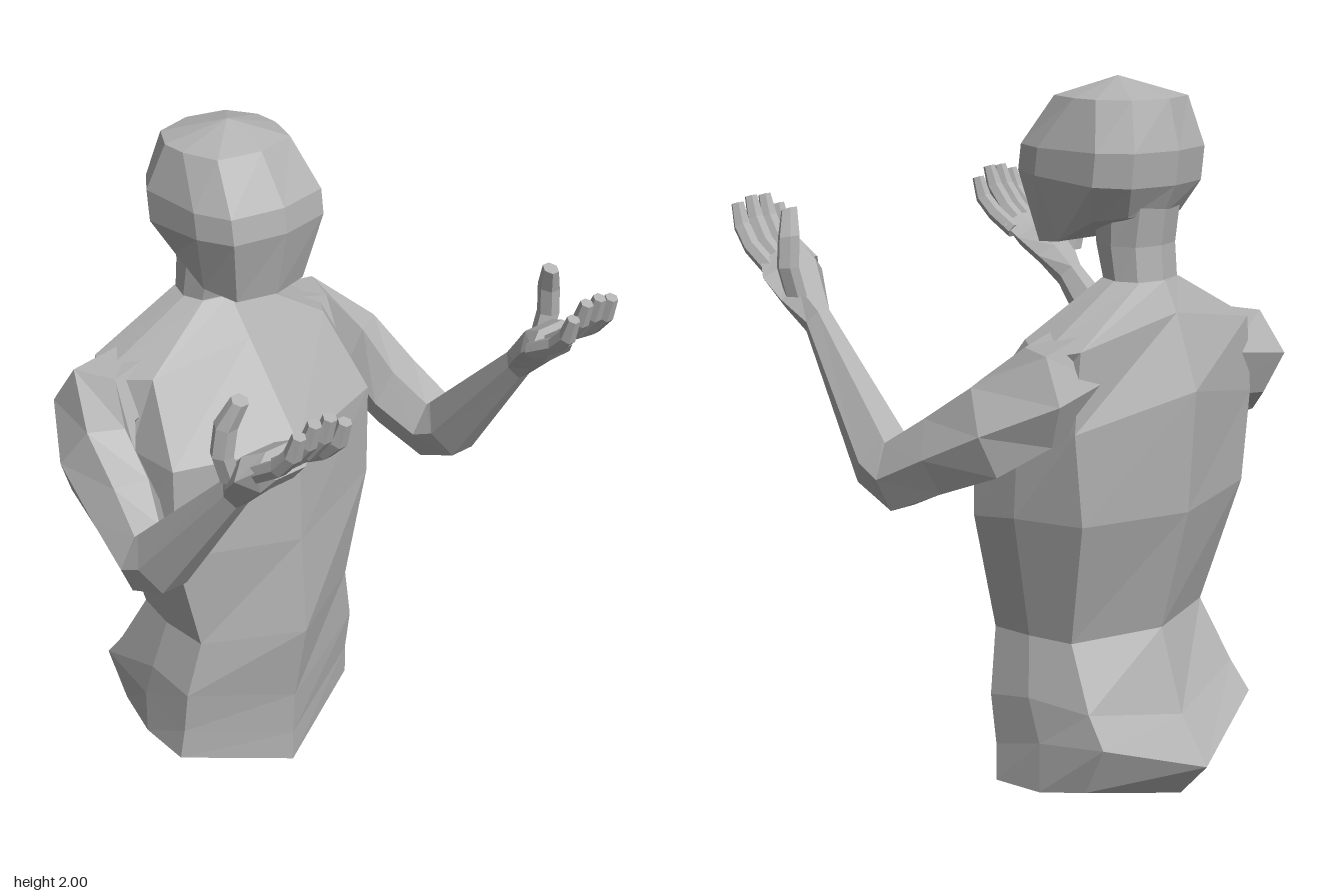
import * as THREE from 'three';

const grey = new THREE.MeshStandardMaterial({ color: 0xb2b2b2 });
grey.name = 'plain grey';

// Faceted skin over rings of points; the ends close onto a given or average point.
function skin(name, rings, startTip, endTip) {
  const n = rings[0].length, tris = [];
  const mean = (r) => [0, 1, 2].map((k) => r.reduce((a, p) => a + p[k], 0) / n);
  const first = rings[0], last = rings[rings.length - 1];
  const a = startTip || mean(first), b = endTip || mean(last);
  for (let j = 0; j < n; j++) {
    const k = (j + 1) % n;
    tris.push([a, first[k], first[j]], [b, last[j], last[k]]);
    for (let i = 0; i < rings.length - 1; i++) {
      const r = rings[i], s = rings[i + 1];
      tris.push([r[j], r[k], s[k]], [r[j], s[k], s[j]]);
    }
  }
  // Turn all faces outward, also for mirrored parts
  const V = (p) => new THREE.Vector3(...p);
  const volume = tris.reduce((v, t) => v + V(t[0]).dot(V(t[1]).cross(V(t[2]))), 0);
  if (volume < 0) tris.forEach((t) => t.reverse());
  const geo = new THREE.BufferGeometry();
  geo.setAttribute('position', new THREE.Float32BufferAttribute(tris.flat(2), 3));
  geo.computeVertexNormals();
  const mesh = new THREE.Mesh(geo, grey);
  mesh.name = name;
  return mesh;
}

// Full ring from its +x half, listed from front centre to back centre
const mirrorRing = (half) => [
  ...half,
  ...half.slice(1, -1).reverse().map(([x, y, z]) => [-x, y, z]),
];

// Six-sided limb ring from its top point, bottom point and sideways half-width vector
function limbRing([top, bottom, side], mirror) {
  return [[1, 0], [0.5, 1], [-0.5, 1], [-1, 0], [-0.5, -1], [0.5, -1]].map(([s, h]) => {
    const p = [0, 1, 2].map((k) =>
      (top[k] + bottom[k]) / 2 + (h * (top[k] - bottom[k])) / 2 + s * side[k]);
    return [p[0] * mirror, p[1], p[2]];
  });
}

// Finger along a path, thickness measured across the bend
function finger(name, path, r, mirror) {
  const rings = path.map((p, i) => {
    const a = path[Math.max(i - 1, 0)], b = path[Math.min(i + 1, path.length - 1)];
    const dy = b[1] - a[1], dz = b[2] - a[2], len = Math.hypot(dy, dz);
    const t = i === path.length - 1 ? r * 0.75 : r;
    const ny = (dz / len) * t, nz = (-dy / len) * t;
    return limbRing([[p[0], p[1] + ny, p[2] + nz], [p[0], p[1] - ny, p[2] - nz], [t * 1.15, 0, 0]], mirror);
  });
  return skin(name, rings);
}

function makeTorso() {
  const halves = [
    [[0, 0, -0.03], [0.33, 0.10, -0.16], [0.33, 0.11, -0.32], [0.30, 0.14, -0.46], [0, 0.07, -0.54]],
    [[0, 0.10, -0.03], [0.32, 0.20, -0.15], [0.33, 0.25, -0.32], [0.31, 0.28, -0.53], [0, 0.17, -0.63]],
    [[0, 0.25, -0.02], [0.32, 0.34, -0.13], [0.33, 0.37, -0.28], [0.30, 0.36, -0.47], [0, 0.30, -0.54]],
    [[0, 0.51, 0.03], [0.28, 0.52, -0.11], [0.295, 0.53, -0.25], [0.27, 0.53, -0.38], [0, 0.53, -0.465]],
    [[0, 0.82, 0.01], [0.36, 0.85, -0.11], [0.385, 0.88, -0.28], [0.33, 0.88, -0.47], [0, 0.87, -0.55]],
    [[0, 1.12, 0], [0.36, 1.13, -0.11], [0.37, 1.13, -0.28], [0.36, 1.13, -0.47], [0, 1.20, -0.57]],
    [[0, 1.38, -0.21], [0.31, 1.34, -0.25], [0.40, 1.32, -0.38], [0.34, 1.34, -0.47], [0, 1.40, -0.50]],
    [[0, 1.48, -0.29], [0.08, 1.48, -0.31], [0.10, 1.48, -0.37], [0.08, 1.48, -0.44], [0, 1.48, -0.46]],
  ];
  return skin('torso', halves.map(mirrorRing), [0, 0.02, -0.30]);
}

function makeNeck() {
  const ring = (y, zf, zb) => mirrorRing([
    [0, y, zf], [0.08, y, zf - 0.02], [0.10, y, (zf + zb) / 2], [0.08, y, zb + 0.02], [0, y, zb],
  ]);
  return skin('neck', [ring(1.46, -0.30, -0.455), ring(1.57, -0.27, -0.445), ring(1.68, -0.26, -0.46)]);
}

function makeHead() {
  // y at front, y at back, front z, back z, half width
  const rings = [
    [1.56, 1.65, -0.09, -0.45, 0.15],
    [1.75, 1.73, -0.05, -0.49, 0.20],
    [1.82, 1.82, -0.06, -0.50, 0.20],
    [1.95, 1.95, -0.15, -0.465, 0.16],
  ].map(([yf, yb, zf, zb, w]) => mirrorRing([
    [0, yf, zf],
    [w * 0.78, yf, zf - 0.03],
    [w, yf + (yb - yf) * 0.15, zf - 0.13],
    [w, yf + (yb - yf) * 0.85, zb + 0.11],
    [w * 0.7, yb, zb + 0.03],
    [0, yb, zb],
  ]));
  return skin('head', rings, [0, 1.58, -0.26], [0, 2, -0.29]);
}

function makeArm(label, mirror) {
  const arm = new THREE.Group();
  arm.name = label + 'Arm';
  const limb = (name, list) => arm.add(skin(name, list.map((r) => limbRing(r, mirror))));

  // Upper arm, swinging forward from the shoulder
  limb('upperArm', [
    [[0.24, 1.38, -0.37], [0.28, 1.12, -0.38], [0, 0, -0.10]],
    [[0.41, 1.34, -0.38], [0.41, 1.11, -0.40], [0.05, 0, -0.12]],
    [[0.48, 1.25, -0.24], [0.48, 1.03, -0.33], [0.09, 0, -0.05]],
    [[0.50, 1.15, -0.11], [0.50, 0.96, -0.17], [0.10, 0, -0.02]],
    [[0.535, 1.07, 0], [0.535, 0.89, -0.02], [0.085, 0, 0]],
  ]);
  // Elbow and tapering forearm
  limb('forearm', [
    [[0.535, 1.07, 0], [0.535, 0.89, -0.02], [0.085, 0, 0]],
    [[0.535, 1.08, 0.01], [0.535, 0.945, 0.11], [0.08, 0, 0]],
    [[0.505, 1.37, 0.31], [0.505, 1.31, 0.36], [0.04, 0, 0]],
  ]);
  // Upturned palm
  limb('palm', [
    [[0.505, 1.37, 0.31], [0.505, 1.31, 0.36], [0.04, 0, 0]],
    [[0.505, 1.43, 0.36], [0.505, 1.37, 0.42], [0.08, 0, 0]],
    [[0.495, 1.49, 0.41], [0.495, 1.42, 0.48], [0.105, 0, 0]],
    [[0.475, 1.52, 0.47], [0.475, 1.46, 0.51], [0.092, 0, 0]],
  ]);
  // Four curled fingers and the thumb on the outer side
  [-0.03, 0, 0, -0.015].forEach((d, i) => {
    const x = 0.405 + i * 0.048;
    arm.add(finger('finger', [
      [x, 1.47, 0.47], [x, 1.53 + d / 2, 0.55],
      [x - 0.005, 1.59 + d, 0.595], [x - 0.008, 1.65 + d, 0.615],
    ], 0.021, mirror));
  });
  arm.add(finger('thumb', [
    [0.55, 1.41, 0.37], [0.575, 1.49, 0.37], [0.565, 1.57, 0.375], [0.54, 1.64, 0.40],
  ], 0.027, mirror));
  return arm;
}

export function createModel() {
  const model = new THREE.Group();
  model.name = 'figureBust';
  model.add(makeTorso(), makeNeck(), makeHead(), makeArm('left', 1), makeArm('right', -1));
  return model;
}
